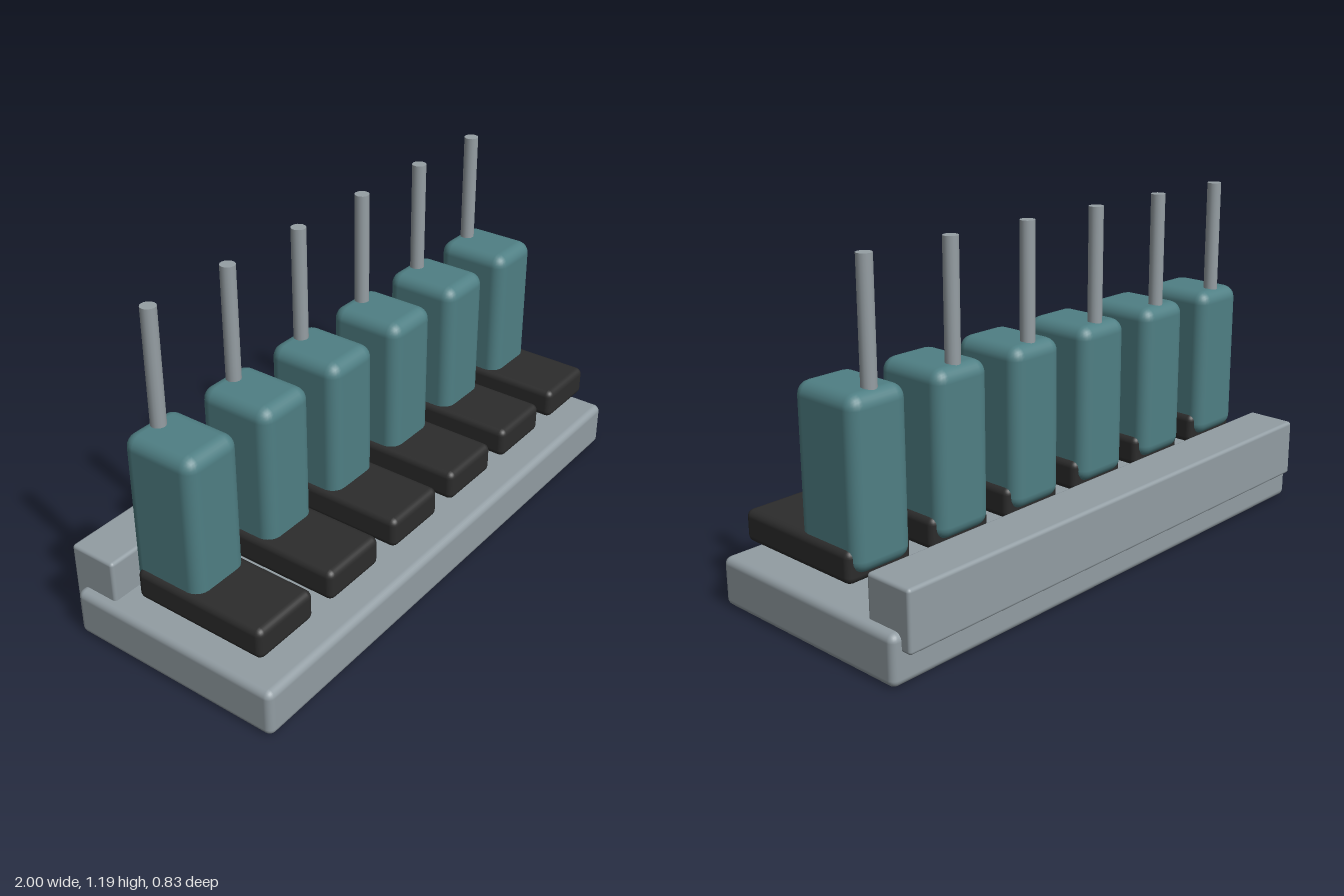
import * as THREE from 'three';
import { RoundedBoxGeometry } from 'three/addons/geometries/RoundedBoxGeometry.js';

const material = (name, color) => {
  const m = new THREE.MeshStandardMaterial({ color });
  m.name = name;
  return m;
};

// Rounded block given by its limits on each axis
function block(name, mat, [x0, x1], [y0, y1], [z0, z1], radius) {
  const geometry = new RoundedBoxGeometry(x1 - x0, y1 - y0, z1 - z0, 3, radius);
  const mesh = new THREE.Mesh(geometry, mat);
  mesh.name = name;
  mesh.position.set((x0 + x1) / 2, (y0 + y1) / 2, (z0 + z1) / 2);
  return mesh;
}

export function createModel() {
  const grey = material('greyBody', 0x929da3);
  const steel = material('steel', 0x969fa4);
  const teal = material('teal', 0x4f7f84);
  const black = material('black', 0x2c2c2c);

  const model = new THREE.Group();
  model.name = 'rodHolderRack';

  // Base slab and the raised rail along its back edge
  model.add(block('base', grey, [-1, 1], [0, 0.167], [-0.382, 0.417], 0.025));
  model.add(block('backRail', grey, [-0.965, 0.965], [0.107, 0.311], [-0.417, -0.24], 0.012));

  // Six identical units: pedal, upright housing and a rod through both
  for (let i = 0; i < 6; i++) {
    const unit = new THREE.Group();
    unit.name = 'unit' + (i + 1);
    unit.position.x = (i - 2.5) * 0.331;

    unit.add(block('pedal', black, [-0.124, 0.124], [0.224, 0.332], [-0.146, 0.349], 0.024));
    unit.add(block('housing', teal, [-0.109, 0.109], [0.252, 0.801], [-0.173, 0.1], 0.045));

    const rod = new THREE.Mesh(new THREE.CylinderGeometry(0.025, 0.025, 1.09, 16), steel);
    rod.name = 'rod';
    rod.position.set(0, 0.645, -0.121);
    unit.add(rod);

    model.add(unit);
  }
  return model;
}
